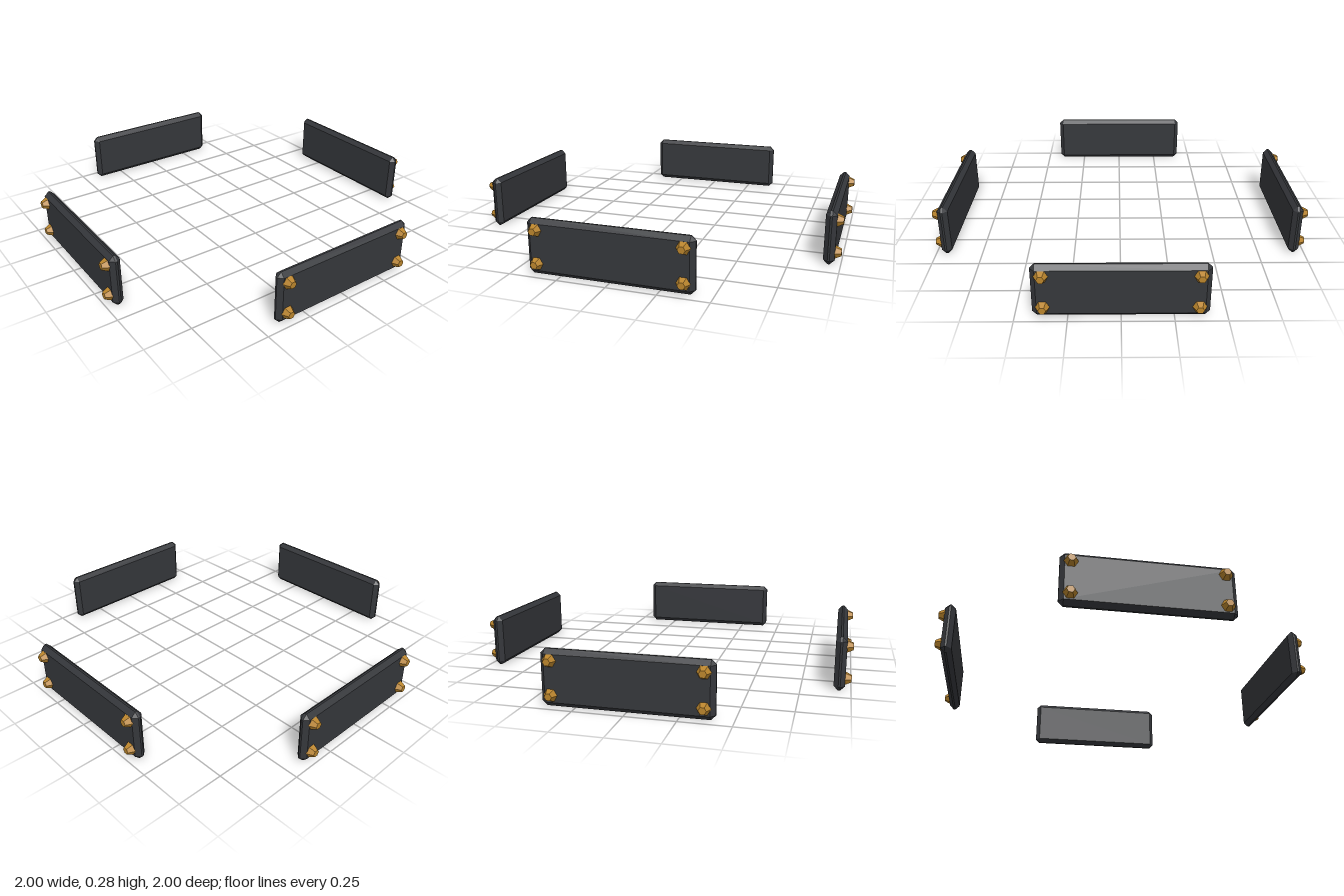
import * as THREE from 'three';
import { ConvexGeometry } from 'three/addons/geometries/ConvexGeometry.js';

// Box with every edge and corner chamfered by c
function chamferedBox(w, h, d, c) {
  const half = [w / 2, h / 2, d / 2];
  const points = [];
  for (const sx of [-1, 1]) for (const sy of [-1, 1]) for (const sz of [-1, 1]) {
    for (let axis = 0; axis < 3; axis++) {
      const p = half.map((v, i) => (i === axis ? v : v - c));
      points.push(new THREE.Vector3(p[0] * sx, p[1] * sy, p[2] * sz));
    }
  }
  return new ConvexGeometry(points);
}

export function createModel() {
  const model = new THREE.Group();
  model.name = 'platePanels';

  const plateMaterial = new THREE.MeshStandardMaterial({ color: 0x35373b, flatShading: true });
  const boltMaterial = new THREE.MeshStandardMaterial({ color: 0xb9842c, flatShading: true });

  const plateGeometry = chamferedBox(0.834, 0.28, 0.056, 0.023);

  // Hexagonal tapered bolt head, pointing along +z with corners on the x axis
  const boltGeometry = new THREE.CylinderGeometry(0.019, 0.035, 0.033, 6);
  boltGeometry.rotateY(Math.PI / 2).rotateX(Math.PI / 2);

  // One bolted plate on each of the four sides, bolts facing outward
  ['front', 'left', 'back', 'right'].forEach((side, i) => {
    const panel = new THREE.Group();
    panel.name = side + 'Panel';

    const plate = new THREE.Mesh(plateGeometry, plateMaterial);
    plate.name = 'plate';
    plate.position.set(0, 0.14, 0.941);
    panel.add(plate);

    for (const sx of [-1, 1]) for (const sy of [-1, 1]) {
      const bolt = new THREE.Mesh(boltGeometry, boltMaterial);
      bolt.name = 'bolt';
      bolt.position.set(0.365 * sx, 0.143 + 0.084 * sy, 0.9835);
      panel.add(bolt);
    }

    panel.rotation.y = i * Math.PI / 2;
    model.add(panel);
  });

  return model;
}
